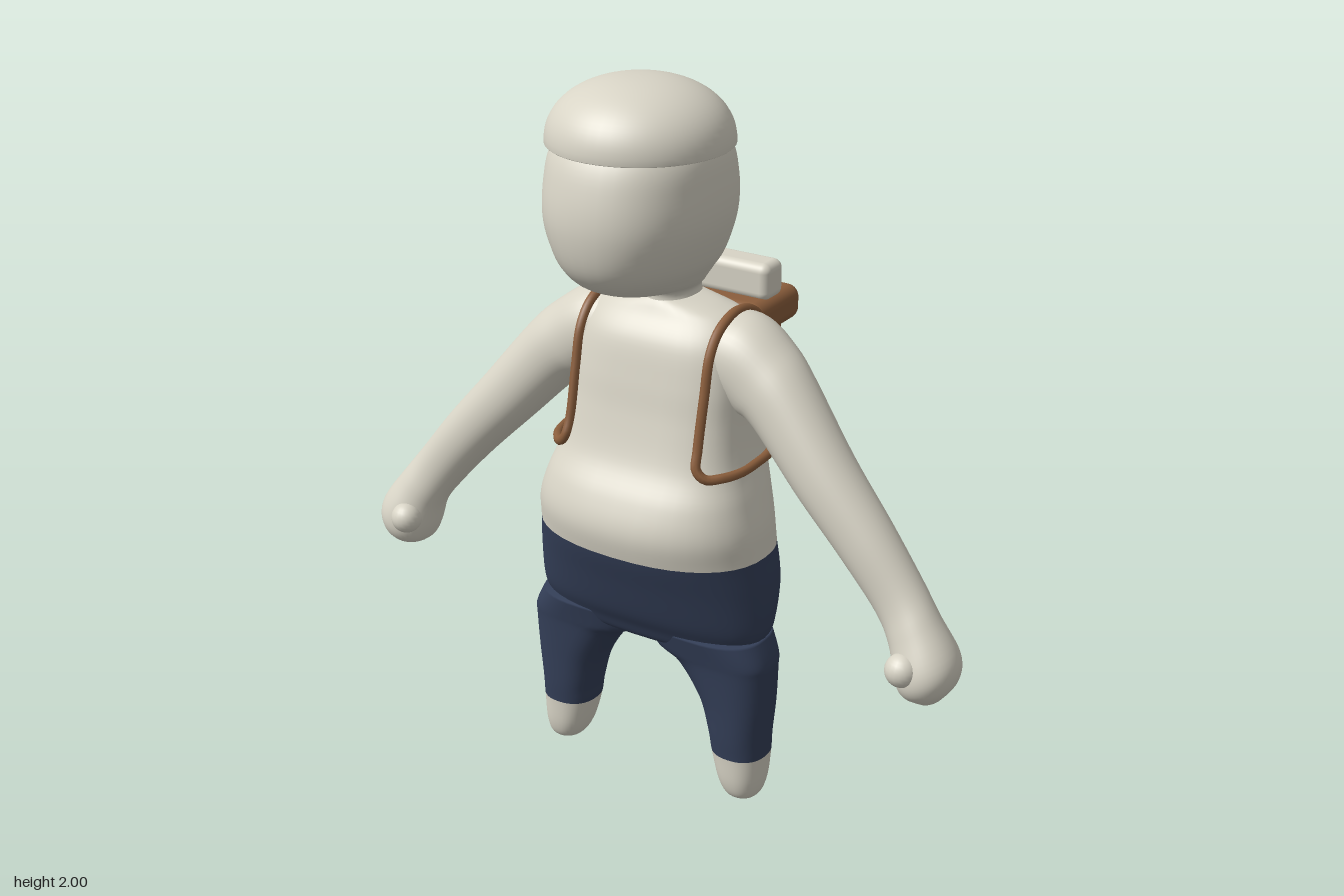
import * as THREE from 'three';
import { RoundedBoxGeometry } from 'three/addons/geometries/RoundedBoxGeometry.js';

const mat = (name, color, side = THREE.FrontSide) => {
  const m = new THREE.MeshStandardMaterial({ color, side });
  m.name = name;
  return m;
};

// Smooth loft. Ring: [x, y, z, radiusU, radiusZ, tilt of U in the xy plane, roundness exponent].
// mats gives a material index for each interval between rings; s = -1 mirrors in x.
function loft(rings, s = 1, mats = [], seg = 40, sub = 6) {
  const pos = [], idx = [], g = new THREE.BufferGeometry();
  const at = (i) => rings[Math.min(rings.length - 1, Math.max(0, i))];
  const rows = (rings.length - 1) * sub + 1;
  for (let r = 0; r < rows; r++) {
    const k = Math.min(Math.floor(r / sub), rings.length - 2), t = r / sub - k;
    const v = rings[0].map((_, c) => {
      const [a, b, d, e] = [at(k - 1)[c], at(k)[c], at(k + 1)[c], at(k + 2)[c]];
      return b + 0.5 * t * (d - a + t * (2 * a - 5 * b + 4 * d - e + t * (3 * (b - d) + e - a)));
    });
    for (let j = 0; j < seg; j++) {
      const a = (j / seg) * Math.PI * 2, p = 2 / v[6];
      const cu = Math.sign(Math.cos(a)) * Math.abs(Math.cos(a)) ** p * v[3];
      const cz = Math.sign(Math.sin(a)) * Math.abs(Math.sin(a)) ** p * v[4];
      pos.push(s * (v[0] + cu * Math.cos(v[5])), v[1] + cu * Math.sin(v[5]), v[2] + cz);
    }
  }
  const tri = (a, b, c) => (s > 0 ? idx.push(a, b, c) : idx.push(a, c, b));
  const first = rows * seg, last = first + 1, end = at(rings.length - 1);
  pos.push(s * rings[0][0], rings[0][1], rings[0][2], s * end[0], end[1], end[2]);
  for (let k = 0; k < rings.length - 1; k++) {
    const start = idx.length;
    for (let r = k * sub; r < (k + 1) * sub; r++) {
      for (let j = 0; j < seg; j++) {
        const n = (j + 1) % seg, a = r * seg + j, b = r * seg + n;
        tri(a, a + seg, b);
        tri(b, a + seg, b + seg);
        if (r === 0) tri(first, a, b);
        if (r === rows - 2) tri(last, b + seg, a + seg);
      }
    }
    g.addGroup(start, idx.length - start, mats[k] ?? 0);
  }
  g.setAttribute('position', new THREE.Float32BufferAttribute(pos, 3));
  g.setIndex(idx);
  g.computeVertexNormals();
  return g;
}

// Horizontal ring from its extents: height, x range, z range
const level = (y, x0, x1, zf, zb, e) =>
  [(x0 + x1) / 2, y, (zf + zb) / 2, (x1 - x0) / 2, (zf - zb) / 2, 0, e];

export function createModel() {
  const model = new THREE.Group();
  const cream = mat('cream', 0xd8d4c6);
  const navy = mat('navy', 0x343f58);
  const brown = mat('brown', 0x8b5e3c);
  const add = (name, geo, material, parent = model) => {
    const m = new THREE.Mesh(geo, material);
    m.name = name;
    parent.add(m);
    return m;
  };

  // Torso with the upper trousers: [y, half width, front z, back z, roundness]
  const torso = [
    [0.447, 0.2, 0.15, 0.0, 2.4], [0.46, 0.31, 0.185, -0.03, 2.4], [0.5, 0.345, 0.205, -0.06, 2.4],
    [0.55, 0.358, 0.23, -0.095, 2.3], [0.65, 0.355, 0.262, -0.145, 2.3], [0.74, 0.34, 0.29, -0.158, 2.3],
    [0.82, 0.33, 0.3, -0.155, 2.4], [0.9, 0.305, 0.272, -0.15, 2.7], [0.985, 0.275, 0.22, -0.15, 3],
    [1.1, 0.255, 0.185, -0.15, 3.2], [1.2, 0.25, 0.165, -0.155, 3.1], [1.3, 0.24, 0.14, -0.15, 2.8],
    [1.36, 0.21, 0.1, -0.115, 2.5], [1.385, 0.15, 0.085, -0.095, 2.2], [1.4, 0.07, 0.075, -0.085, 2],
  ].map(([y, w, f, b, e]) => level(y, -w, w, f, b, e));
  add('torso', loft(torso, 1, [1, 1, 1, 1, 1]), [cream, navy]);

  // Head and neck
  const head = [
    [1.36, 0.09, 0.085, -0.095], [1.41, 0.068, 0.078, -0.095], [1.435, 0.085, 0.11, -0.1],
    [1.455, 0.108, 0.22, -0.106], [1.49, 0.142, 0.325, -0.115], [1.55, 0.187, 0.383, -0.125],
    [1.65, 0.223, 0.405, -0.132], [1.75, 0.226, 0.395, -0.125], [1.84, 0.208, 0.36, -0.09],
    [1.92, 0.14, 0.28, 0.0],
  ].map(([y, w, f, b]) => level(y, -w, w, f, b, 2.2));
  add('head', loft(head), [cream]);

  // Domed cap with a flat underside
  const dome = [new THREE.Vector2(0, 1.835), new THREE.Vector2(0.238, 1.835)];
  for (let i = 0; i <= 20; i++) {
    const a = (i / 20) * Math.PI / 2;
    dome.push(new THREE.Vector2(0.24 * Math.cos(a) ** 0.92, 1.837 + 0.163 * Math.sin(a) ** 0.92));
  }
  dome[dome.length - 1].x = 0;
  add('cap', new THREE.LatheGeometry(dome, 48), cream).position.z = 0.14;

  // Leg from foot to hip
  const leg = [
    level(0, 0.275, 0.32, 0.11, 0.06, 2.2), level(0.015, 0.248, 0.343, 0.14, 0.03, 2.2),
    level(0.06, 0.225, 0.355, 0.155, 0.01, 2.3), level(0.14, 0.203, 0.362, 0.16, 0, 2.3),
    level(0.2, 0.193, 0.364, 0.165, -0.005, 2.3), level(0.3, 0.163, 0.373, 0.17, -0.01, 2.4),
    level(0.4, 0.095, 0.376, 0.178, -0.014, 2.7), level(0.44, 0.03, 0.372, 0.185, -0.024, 3),
    level(0.5, 0.0, 0.345, 0.2, -0.05, 2.6),
  ];
  // Arm from inside the shoulder to the fist
  const arm = [
    [0.12, 1.27, -0.005, 0.1, 0.11, -1.57], [0.22, 1.255, -0.01, 0.122, 0.12, -1.75],
    [0.29, 1.215, 0, 0.115, 0.113, -2.1], [0.36, 1.165, 0.02, 0.1, 0.1, -2.38],
    [0.5, 1.01, 0.05, 0.088, 0.088, -2.42], [0.63, 0.87, 0.065, 0.08, 0.077, -2.42],
    [0.735, 0.745, 0.075, 0.074, 0.068, -2.42], [0.79, 0.67, 0.09, 0.075, 0.074, -2.5],
    [0.835, 0.585, 0.1, 0.087, 0.095, -2.7], [0.848, 0.53, 0.1, 0.072, 0.085, -2.8],
    [0.853, 0.493, 0.1, 0.03, 0.04, -2.85],
  ].map((r) => [...r, 2.1]);
  // Shoulder strap, from the top of the pack over the shoulder and back round the side
  const strap = [
    [0.13, 1.19, -0.2], [0.185, 1.22, -0.17], [0.2, 1.28, -0.148], [0.2, 1.355, -0.09], [0.2, 1.382, 0],
    [0.2, 1.355, 0.085], [0.2, 1.3, 0.13], [0.2, 1.2, 0.155], [0.2, 1.06, 0.186], [0.206, 1.01, 0.202],
    [0.228, 0.987, 0.195], [0.26, 0.985, 0.16], [0.283, 0.985, 0.1], [0.285, 0.985, 0.03],
    [0.28, 0.985, -0.04], [0.255, 0.985, -0.1], [0.2, 0.985, -0.14], [0.12, 0.985, -0.195],
  ];
  for (const [side, s] of [['left', 1], ['right', -1]]) {
    add(side + 'Leg', loft(leg, s, [0, 0, 0, 1, 1, 1, 1, 1]), [cream, navy]);
    add(side + 'Arm', loft(arm, s), [cream]);
    const thumb = add(side + 'Thumb', new THREE.SphereGeometry(0.045, 20, 14), cream);
    thumb.position.set(s * 0.8, 0.595, 0.172);
    const path = new THREE.CatmullRomCurve3(strap.map(([x, y, z]) => new THREE.Vector3(s * x, y, z)));
    add(side + 'Strap', new THREE.TubeGeometry(path, 120, 0.013, 8), brown);
  }

  // Backpack: size, then centre height and depth
  const pack = new THREE.Group();
  pack.name = 'backpack';
  model.add(pack);
  const box = (name, w, h, d, r, y, z, m) =>
    add(name, new RoundedBoxGeometry(w, h, d, 5, r), m, pack).position.set(0, y, z);
  box('packBody', 0.29, 0.41, 0.185, 0.04, 1.085, -0.268, brown);
  box('packLid', 0.34, 0.1, 0.245, 0.036, 1.28, -0.283, brown);
  box('packPocket', 0.2, 0.185, 0.07, 0.028, 1.008, -0.36, brown);
  box('bedroll', 0.315, 0.105, 0.096, 0.025, 1.372, -0.275, cream);
  return model;
}
